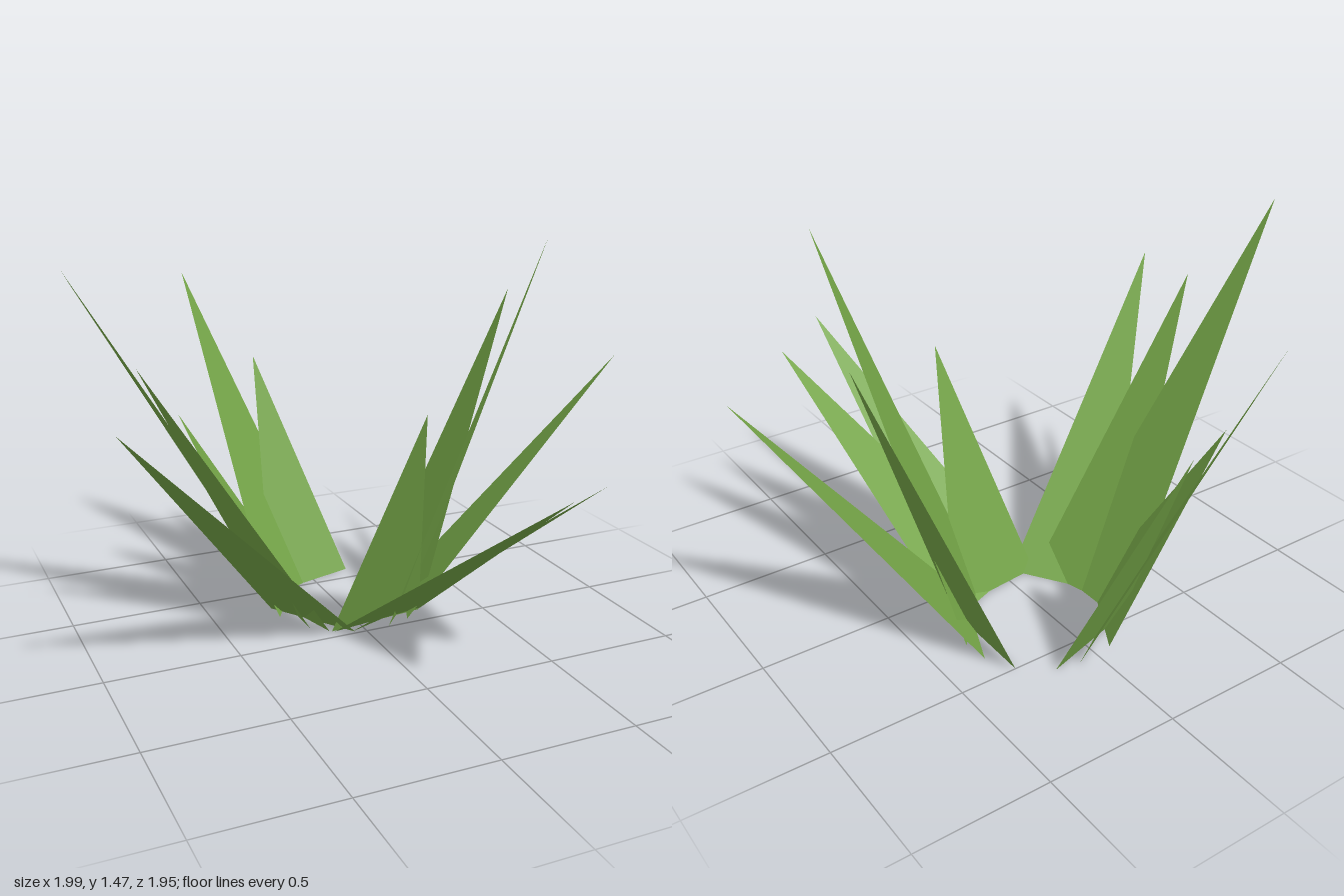
import * as THREE from 'three';

// Ring on the ground from which the blades grow
const CENTRE = new THREE.Vector3(0.045, 0, -0.305);
const RADIUS = 0.235;
const HALF_WIDTH = 0.195;

// Tip of each blade
const TIPS = [
  [0.75, 1.20, -0.305], [0.99, 0.99, 0.09], [0.61, 1.47, 0.19],
  [0.47, 0.76, 0.81], [0.11, 0.90, 0.26], [0.24, 0.795, 0.97],
  [-0.99, 0.99, 0.38], [-0.81, 1.08, -0.07], [-1.0, 1.40, -0.29],
  [-0.52, 0.75, -0.62], [-0.38, 1.24, -0.98], [-0.12, 0.89, -0.88],
];

// Flat triangular blade, its base tangent to the ring, its upper side facing inwards
function bladeGeometry(tip) {
  const out = tip.clone().sub(CENTRE).setY(0).normalize();
  const foot = CENTRE.clone().addScaledVector(out, RADIUS);
  const side = new THREE.Vector3(out.z, 0, -out.x);
  const geometry = new THREE.BufferGeometry().setFromPoints([
    foot.clone().addScaledVector(side, HALF_WIDTH),
    foot.clone().addScaledVector(side, -HALF_WIDTH),
    tip,
  ]);
  geometry.computeVertexNormals();
  return geometry;
}

export function createModel() {
  const leafGreen = new THREE.MeshStandardMaterial({ color: 0x73a346, side: THREE.DoubleSide });
  leafGreen.name = 'leaf green';

  const grass = new THREE.Group();
  grass.name = 'grassTuft';
  TIPS.forEach((tip, i) => {
    const blade = new THREE.Mesh(bladeGeometry(new THREE.Vector3(...tip)), leafGreen);
    blade.name = `blade${i + 1}`;
    grass.add(blade);
  });
  return grass;
}
